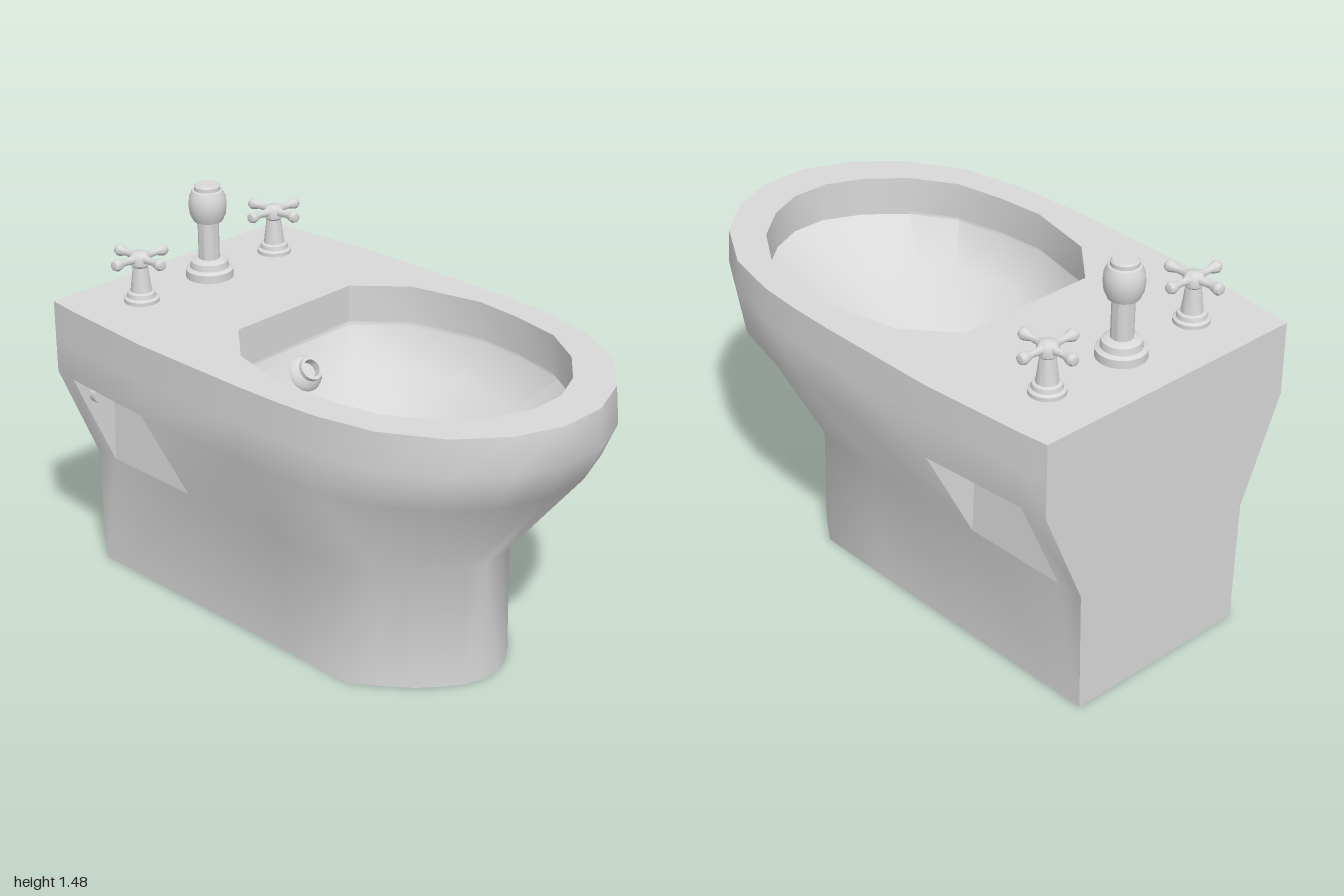
import * as THREE from 'three';
import { toCreasedNormals } from 'three/addons/utils/BufferGeometryUtils.js';

const ceramic = new THREE.MeshStandardMaterial({ color: 0xd8d8d8 });
ceramic.name = 'grey ceramic';

function part(parent, name, geometry) {
  const mesh = new THREE.Mesh(geometry, ceramic);
  mesh.name = name;
  parent.add(mesh);
  return mesh;
}

// full loop from the +x half outline (listed back to front)
const mirror = half => [...half, ...half.slice().reverse().map(([x, z]) => [-x, z])];

function fromTriangles(tris, crease) {
  const g = new THREE.BufferGeometry();
  g.setAttribute('position', new THREE.Float32BufferAttribute(tris.flat(), 3));
  return toCreasedNormals(g, crease);
}

// skin between horizontal rings; faces outward going up, inward going down
function loft(rings, crease, skip = () => false) {
  const tris = [];
  for (let k = 0; k < rings.length - 1; k++) {
    const lo = rings[k], hi = rings[k + 1], n = lo.pts.length;
    for (let i = 0; i < n; i++) {
      if (skip(k, i, n)) continue;
      const j = (i + 1) % n;
      const at = (r, q) => [r.pts[q][0], r.y, r.pts[q][1]];
      const a = at(lo, i), b = at(lo, j), c = at(hi, j), d = at(hi, i);
      // the diagonal is mirrored between the two halves
      if (i < n / 2) tris.push(a, d, c, a, c, b);
      else tris.push(a, d, b, b, d, c);
    }
  }
  return fromTriangles(tris, crease);
}

function lathe(profile, segments = 24) {
  return toCreasedNormals(
    new THREE.LatheGeometry(profile.map(p => new THREE.Vector2(...p)), segments), 0.7);
}

const toShape = pts => new THREE.Shape(pts.map(([x, z]) => new THREE.Vector2(x, -z)));

export function createModel() {
  const model = new THREE.Group();
  model.name = 'bidet';

  // pedestal and basin outside; the pedestal has a tapered nose
  const foot = [[0.374, -1], [0.376, -0.9], [0.38, -0.49], [0.386, 0], [0.386, 0.305],
    [0.318, 0.405], [0.247, 0.497], [0.178, 0.558], [0.11, 0.605], [0.04, 0.632]];
  const waist = [[0.385, -1], [0.388, -0.9], [0.395, -0.49], [0.406, 0], [0.4, 0.265],
    [0.326, 0.385], [0.25, 0.485], [0.18, 0.55], [0.11, 0.6], [0.04, 0.628]];
  const top = [[0.553, -1], [0.566, -0.9], [0.6, -0.49], [0.604, 0], [0.6, 0.18],
    [0.588, 0.35], [0.54, 0.57], [0.42, 0.78], [0.265, 0.915], [0.09, 0.985]];
  const belly = top.map(([x, z]) => [x, z > 0 ? z * 0.945 : z]);
  const bulge = top.map(([x, z]) => [x, z > 0 ? z * 1.015 : z]);
  const topY = 1.125, bellyY = 0.85, waistY = 0.465;
  const rings = [[foot, 0], [waist, waistY], [belly, bellyY], [bulge, 0.99], [top, topY]]
    .map(([half, y]) => ({ pts: mirror(half), y }));
  part(model, 'body', loft(rings, 1.1, (k, i, n) => k === 1 && (i === 1 || i === n - 3)));

  const base = new THREE.ShapeGeometry(toShape(mirror(foot)));
  base.rotateX(-Math.PI / 2).scale(1, -1, 1);
  const idx = base.index.array;
  for (let i = 0; i < idx.length; i += 3) [idx[i], idx[i + 1]] = [idx[i + 1], idx[i]];
  base.computeVertexNormals();
  part(model, 'underside', base);

  // flat deck with the basin opening
  const midX = 0.005;
  const opening = mirror([[0.28, -0.33], [0.43, -0.16], [0.493, 0.12], [0.477, 0.31],
    [0.44, 0.5], [0.34, 0.66], [0.21, 0.77], [0.075, 0.83]]).map(([x, z]) => [x + midX, z]);
  const deckShape = toShape(mirror(top));
  deckShape.holes.push(toShape(opening));
  const deck = part(model, 'deck', new THREE.ShapeGeometry(deckShape).rotateX(-Math.PI / 2));
  deck.position.y = topY;

  // rim wall, then an undercut bowl blending from the opening into the round drain
  part(model, 'rimWall', loft([{ pts: opening, y: topY }, { pts: opening, y: 0.985 }], 0.6));
  const drainY = 0.67, drainZ = 0.065, drainR = 0.1;
  const bowlRing = (t, y) => ({
    y,
    pts: opening.map(([x, z]) => {
      const dx = x - midX, dz = z - drainZ, r = drainR / Math.hypot(dx, dz);
      const s = r + (1 - r) * t;
      return [midX + dx * s, drainZ + dz * s];
    }),
  });
  part(model, 'bowl', loft([bowlRing(1, 0.985), bowlRing(1.05, 0.985), bowlRing(1.05, 0.96),
    bowlRing(0.75, 0.835), bowlRing(0.4, 0.735), bowlRing(0, drainY)], 0.9));

  const drain = part(model, 'drain', lathe([[0.107, -0.02], [0.107, 0.012], [0.088, 0.014],
    [0.084, -0.01], [0, -0.01]]));
  drain.position.set(midX, drainY, drainZ);

  // water jet at the back of the bowl
  const jet = part(model, 'jet', lathe([[0.06, -0.09], [0.072, -0.04], [0.074, 0], [0.064, 0.03],
    [0.045, 0.045], [0.045, 0.062], [0.033, 0.062], [0.033, 0.03], [0, 0.03]]));
  jet.position.set(midX, 0.872, -0.295);
  jet.rotation.x = 0.87;

  // side pockets, each with a small peg on the rear wall
  for (const s of [1, -1]) {
    const corner = (ring, i, y, x = ring[i][0]) => [s * x, y, ring[i][1]];
    const [backLow, frontLow] = [1, 2].map(i => corner(waist, i, waistY));
    const [backIn, frontIn] = [1, 2].map(i => corner(belly, i, bellyY, waist[i][0] - 0.015));
    const [backOut, frontOut] = [1, 2].map(i => corner(belly, i, bellyY));
    const tris = [
      backLow, backIn, frontIn, backLow, frontIn, frontLow,
      backIn, backOut, frontOut, backIn, frontOut, frontIn,
      backLow, backOut, backIn,
      frontLow, frontIn, frontOut,
    ];
    if (s < 0) tris.reverse();
    part(model, 'sidePocket', fromTriangles(tris, 0.3));
    const peg = part(model, 'pocketPeg', new THREE.CylinderGeometry(0.036, 0.036, 0.03, 20));
    peg.rotation.x = Math.PI / 2;
    peg.position.set(s * 0.46, 0.765, -0.885);
  }

  // central diverter with a barrel-shaped head
  const tapZ = -0.776;
  const diverter = part(model, 'diverter', lathe([[0.088, 0], [0.088, 0.03], [0.072, 0.038],
    [0.068, 0.062], [0.052, 0.07], [0.039, 0.072], [0.039, 0.212], [0.054, 0.218], [0.066, 0.245],
    [0.07, 0.278], [0.067, 0.31], [0.056, 0.333], [0.048, 0.336], [0.048, 0.35], [0.042, 0.356],
    [0, 0.356]], 28));
  diverter.position.set(midX, topY, tapZ);

  // cross-handle valves
  const stem = lathe([[0.064, 0], [0.064, 0.014], [0.053, 0.02], [0.05, 0.036], [0.039, 0.04],
    [0.027, 0.132], [0.036, 0.14], [0.038, 0.165], [0.03, 0.182], [0.022, 0.187], [0, 0.187]]);
  const arm = lathe([[0.019, 0.02], [0.013, 0.045], [0.012, 0.075], [0.019, 0.095],
    [0.022, 0.108], [0.017, 0.121], [0, 0.127]], 14);
  for (const s of [1, -1]) {
    const valve = new THREE.Group();
    valve.name = 'valve';
    valve.position.set(midX + s * 0.334, topY, tapZ);
    part(valve, 'stem', stem);
    for (let i = 0; i < 4; i++) {
      const handle = part(valve, 'handleArm', arm);
      handle.position.y = 0.165;
      handle.rotation.set(Math.PI / 2, i * Math.PI / 2, 0, 'YXZ');
    }
    model.add(valve);
  }
  return model;
}
